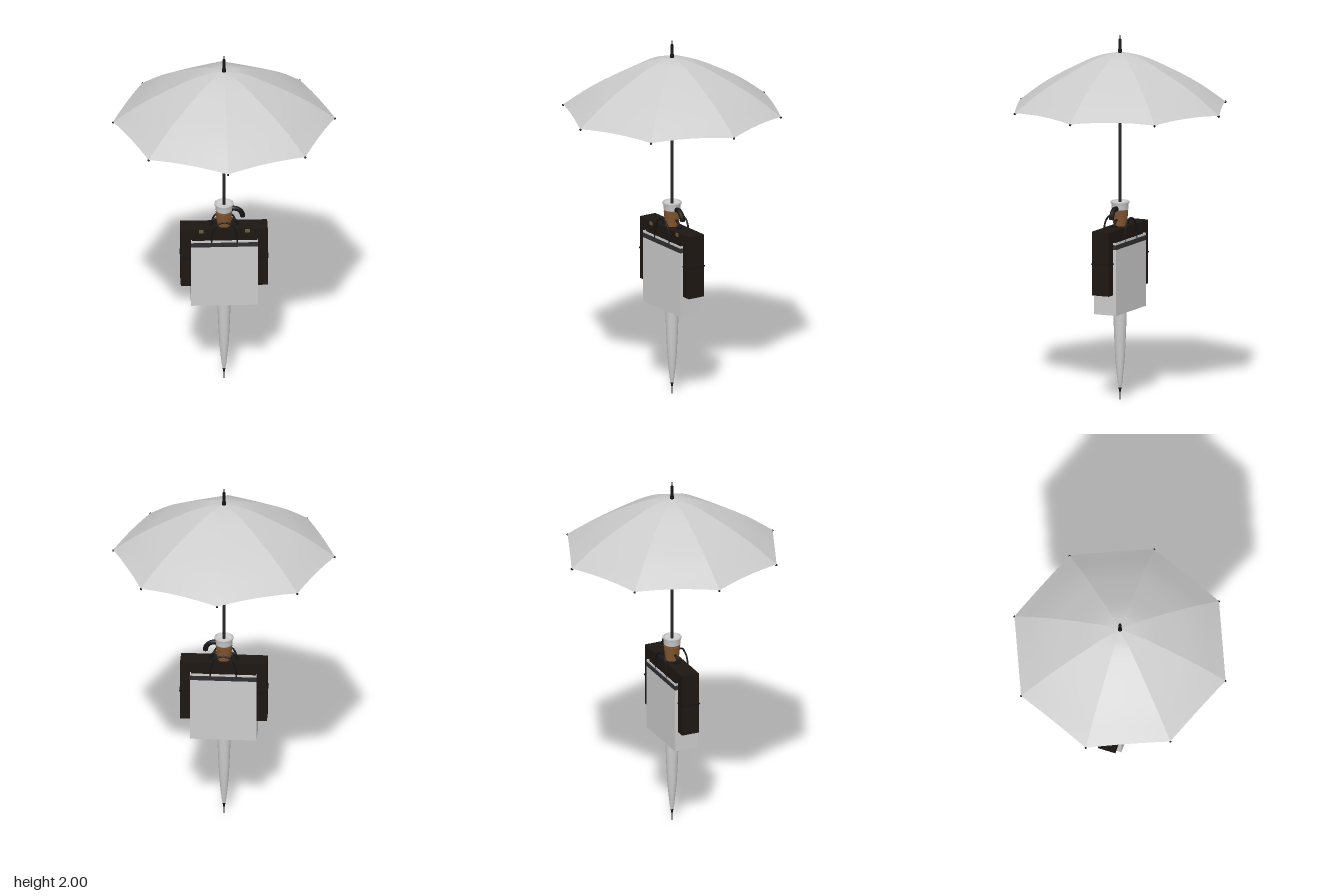
import * as THREE from 'three';

const mat = (color) => new THREE.MeshStandardMaterial({ color, side: THREE.DoubleSide });
const grey = mat(0xcccccc), metal = mat(0x26262a), black = mat(0x141416);
const leather = mat(0x1e1713), brown = mat(0x80552f), band = mat(0x303032), brass = mat(0x6b5a40);
const V = (x, y, z = 0) => new THREE.Vector3(x, y, z);

export function createModel() {
  const root = new THREE.Group();
  const add = (name, geo, material, x = 0, y = 0, z = 0, parent = root) => {
    const m = new THREE.Mesh(geo, material);
    m.name = name;
    m.position.set(x, y, z);
    parent.add(m);
    return m;
  };
  const box = (name, w, h, d, material, x, y, z, parent) =>
    add(name, new THREE.BoxGeometry(w, h, d), material, x, y, z, parent);
  // Cylinder given by its bottom and top heights
  const rod = (name, rTop, rBottom, y0, y1, material, parent, sides = 24) =>
    add(name, new THREE.CylinderGeometry(rTop, rBottom, y1 - y0, sides), material, 0, (y0 + y1) / 2, 0, parent);
  const tube = (name, points, r, material, parent, segments = 24) =>
    add(name, new THREE.TubeGeometry(new THREE.CatmullRomCurve3(points), segments, r, 8), material, 0, 0, 0, parent);
  const lathe = (name, pts, material, parent) =>
    add(name, new THREE.LatheGeometry(pts.map((p) => new THREE.Vector2(...p)), 32), material, 0, 0, 0, parent);

  // ---- Open umbrella ----
  const open = new THREE.Group();
  open.name = 'openUmbrella';
  root.add(open);
  const profile = [[0, 1.905], [0.12, 1.88], [0.31, 1.79], [0.45, 1.71], [0.6, 1.602]];
  const ribCurve = new THREE.CatmullRomCurve3(profile.map(([r, y]) => V(r, y)));

  // One fabric panel, straight across between two ribs, with a slightly arched hem
  const gore = () => {
    const pos = [], index = [], rows = 16, cols = 8, a = Math.PI / 4;
    for (let i = 0; i <= rows; i++) {
      const p = ribCurve.getPoint(i / rows);
      for (let j = 0; j <= cols; j++) {
        const t = j / cols, lift = 0.012 * Math.pow(i / rows, 4) * 4 * t * (1 - t);
        pos.push(p.x * (1 - t + t * Math.cos(a)), p.y + lift, -p.x * t * Math.sin(a));
        if (i < rows && j < cols) {
          const k = i * (cols + 1) + j, n = k + cols + 1;
          if (i > 0) index.push(k, n, k + 1);
          index.push(k + 1, n, n + 1);
        }
      }
    }
    const g = new THREE.BufferGeometry();
    g.setAttribute('position', new THREE.Float32BufferAttribute(pos, 3));
    g.setIndex(index);
    g.computeVertexNormals();
    return g;
  };
  const goreGeo = gore();
  const ribPoints = profile.map(([r, y]) => V(Math.max(r, 0.008), y - 0.007));
  for (let i = 0; i < 8; i++) {
    const spoke = new THREE.Group();
    spoke.name = 'canopySection';
    spoke.rotation.y = (i * Math.PI) / 4;
    open.add(spoke);
    add('canopyPanel', goreGeo, grey, 0, 0, 0, spoke);
    tube('rib', ribPoints, 0.004, metal, spoke);
    tube('stretcher', [V(0.012, 1.66), V(0.3, 1.788)], 0.0028, metal, spoke, 1);
    add('ribTip', new THREE.SphereGeometry(0.006, 10, 8), black, 0.599, 1.599, 0, spoke);
  }
  rod('shaft', 0.008, 0.008, 1.0, 1.91, metal, open, 16);
  rod('runner', 0.015, 0.015, 1.63, 1.67, black, open);
  rod('topNotch', 0.014, 0.014, 1.86, 1.89, black, open);
  lathe('ferrule', [[0, 1.9], [0.012, 1.903], [0.012, 1.918], [0.0085, 1.922], [0.007, 1.975],
    [0.004, 1.98], [0.004, 1.998], [0, 2]], black, open);

  // ---- Takeaway cup ----
  const cup = new THREE.Group();
  cup.name = 'cup';
  root.add(cup);
  rod('cupBody', 0.043, 0.034, 0.93, 1.06, brown, cup, 32);
  rod('cupSleeve', 0.045, 0.039, 0.975, 1.035, brown, cup, 32);
  lathe('cupLid', [[0.042, 1.042], [0.045, 1.045], [0.046, 1.075], [0.051, 1.077], [0.051, 1.087],
    [0.047, 1.09], [0.044, 1.088], [0.042, 1.078], [0, 1.078]], grey, cup);

  // ---- Briefcase ----
  const briefcase = new THREE.Group();
  briefcase.name = 'briefcase';
  root.add(briefcase);
  box('caseBody', 0.47, 0.35, 0.1, leather, 0, 0.778, 0, briefcase);
  box('caseSeam', 0.478, 0.007, 0.107, black, 0, 0.775, 0, briefcase);
  for (const s of [-1, 1]) {
    box('clasp', 0.025, 0.02, 0.004, brass, s * 0.125, 0.94, 0.051, briefcase);
    box('handleMount', 0.022, 0.012, 0.03, black, s * 0.07, 0.956, 0, briefcase);
  }
  tube('caseHandle', [V(-0.07, 0.955), V(-0.06, 0.982), V(-0.03, 0.992), V(0.03, 0.992), V(0.06, 0.982),
    V(0.07, 0.955)], 0.007, black, briefcase);

  // ---- Shopping bag, open at the top ----
  const bag = new THREE.Group();
  bag.name = 'shoppingBag';
  root.add(bag);
  const wall = 0.004;
  box('bagBottom', 0.36, wall, 0.134, grey, 0, 0.492, 0, bag);
  for (const s of [-1, 1]) {
    box('bagPanel', 0.36, 0.4, wall, grey, 0, 0.69, s * 0.065, bag);
    box('bagSide', wall, 0.4, 0.13, grey, s * 0.178, 0.69, 0, bag);
    box('bagStripe', 0.361, 0.026, 0.002, band, 0, 0.865, s * 0.0673, bag);
    box('bagSideStripe', 0.002, 0.026, 0.134, band, s * 0.1803, 0.865, 0, bag);
    const z = s * 0.064;
    tube('bagHandle', [V(-0.07, 0.875, z), V(-0.066, 0.93, z), V(-0.045, 0.98, z), V(0, 1.0, z),
      V(0.045, 0.98, z), V(0.066, 0.93, z), V(0.07, 0.875, z)], 0.005, black, bag, 36);
  }

  // ---- Folded umbrella ----
  const folded = new THREE.Group();
  folded.name = 'foldedUmbrella';
  root.add(folded);
  lathe('foldedCanopy', [[0.007, 0.06], [0.012, 0.09], [0.019, 0.15], [0.026, 0.23], [0.031, 0.33],
    [0.035, 0.43], [0.037, 0.52], [0.037, 0.62], [0, 0.64]], grey, folded);
  rod('foldedCap', 0.008, 0.005, 0.043, 0.066, black, folded);
  rod('foldedTip', 0.0035, 0.002, 0, 0.045, metal, folded, 12);
  rod('foldedShaft', 0.008, 0.008, 0.6, 0.97, metal, folded, 16);

  // Curved handle emerging beside the cup
  const hook = [V(0.005, 0.955)];
  for (let i = 0; i <= 8; i++) {
    const a = Math.PI * (1 - i / 8);
    hook.push(V(0.053 + 0.048 * Math.cos(a), 1.003 + 0.05 * Math.sin(a)));
  }
  tube('hookHandle', hook, 0.014, black, folded, 40);
  const end = hook[hook.length - 1];
  add('hookEnd', new THREE.SphereGeometry(0.014, 16, 10), black, end.x, end.y, 0, folded).scale.y = 0.3;

  return root;
}
